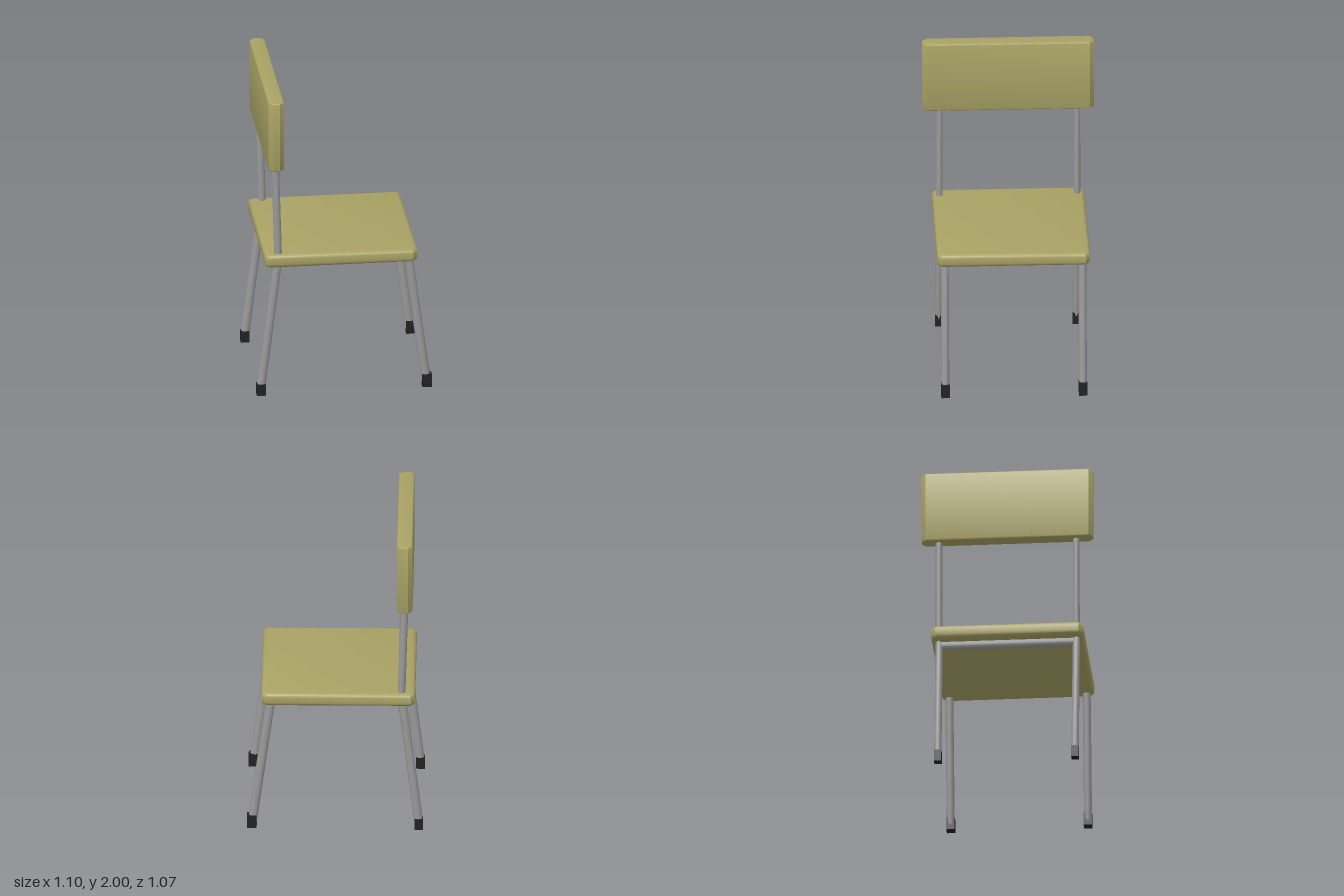
import * as THREE from 'three';
import { toCreasedNormals } from 'three/addons/utils/BufferGeometryUtils.js';

const wood = new THREE.MeshStandardMaterial({ color: 0xa8a264 });
const metal = new THREE.MeshStandardMaterial({ color: 0x999999 });
const rubber = new THREE.MeshStandardMaterial({ color: 0x222222 });

function addMesh(parent, name, geometry, material) {
  const mesh = new THREE.Mesh(geometry, material);
  mesh.name = name;
  parent.add(mesh);
  return mesh;
}

// Horizontal slab with clipped corners and bevelled rims, between y0 and y1
function slab(x0, x1, halfZ, y0, y1, cutX, cutZ, bevel) {
  const a = x0 + bevel, b = x1 - bevel, h = halfZ - bevel;
  const shape = new THREE.Shape([
    [a + cutX, -h], [b - cutX, -h], [b, -h + cutZ], [b, h - cutZ],
    [b - cutX, h], [a + cutX, h], [a, h - cutZ], [a, -h + cutZ],
  ].map(([x, z]) => new THREE.Vector2(x, z)));
  const geo = new THREE.ExtrudeGeometry(shape, {
    depth: y1 - y0 - 2 * bevel, bevelEnabled: true,
    bevelSize: bevel, bevelThickness: bevel, bevelSegments: 3,
  });
  geo.rotateX(-Math.PI / 2).translate(0, y0 + bevel, 0);
  return toCreasedNormals(geo, 0.7);
}

// Tube leaning in x, with horizontal ends and an oval section
function leaningTube(xBottom, yBottom, xTop, yTop, z, width, depth) {
  const height = yTop - yBottom;
  const geo = new THREE.CylinderGeometry(0.5, 0.5, height, 12);
  geo.scale(width, 1, depth);
  const p = geo.attributes.position;
  for (let i = 0; i < p.count; i++) {
    const t = p.getY(i) / height + 0.5;
    p.setX(i, p.getX(i) + xBottom + (xTop - xBottom) * t);
  }
  geo.translate(0, (yBottom + yTop) / 2, z);
  return toCreasedNormals(geo, 0.8);
}

export function createModel() {
  const chair = new THREE.Group();
  chair.name = 'chair';

  // Seat and backrest panels
  addMesh(chair, 'seat', slab(-0.5, 0.455, 0.475, 0.865, 0.95, 0.012, 0.012, 0.025), wood);
  addMesh(chair, 'backrest', slab(-0.485, -0.387, 0.535, 1.54, 2, 0.022, 0.022, 0.01), wood);

  // Legs, feet and back posts on both sides
  for (const side of [1, -1]) {
    const z = side * 0.428;
    const label = side > 0 ? 'left' : 'right';
    addMesh(chair, `${label}RearLeg`, leaningTube(-0.523, 0.04, -0.416, 0.91, z, 0.055, 0.046), metal);
    addMesh(chair, `${label}FrontLeg`, leaningTube(0.513, 0.04, 0.396, 0.91, z, 0.058, 0.05), metal);
    addMesh(chair, `${label}BackPost`, leaningTube(-0.414, 0.9, -0.435, 1.6, z, 0.048, 0.042), metal);

    const rearFoot = new THREE.BoxGeometry(0.055, 0.075, 0.046);
    addMesh(chair, `${label}RearFoot`, rearFoot, rubber).position.set(-0.522, 0.0375, z);
    const frontFoot = new THREE.BoxGeometry(0.06, 0.085, 0.052);
    addMesh(chair, `${label}FrontFoot`, frontFoot, rubber).position.set(0.515, 0.0525, z);
  }

  // Crossbar under the seat between the rear legs
  const bar = new THREE.CylinderGeometry(0.027, 0.027, 0.84, 12).rotateX(Math.PI / 2);
  addMesh(chair, 'rearCrossbar', bar, metal).position.set(-0.42, 0.842, 0);

  return chair;
}
